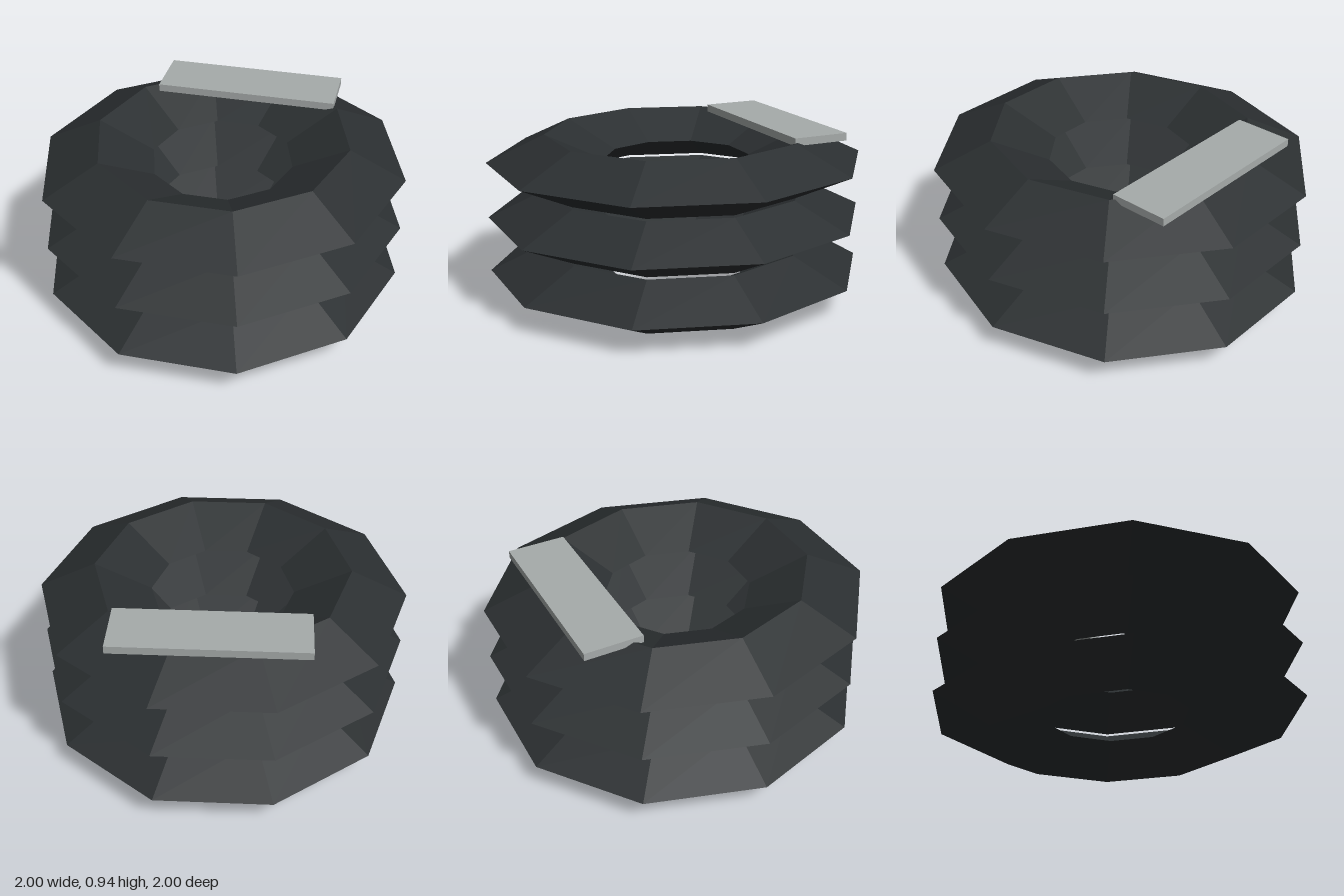
import * as THREE from 'three';

export function createModel() {
  const model = new THREE.Group();
  const rubber = new THREE.MeshStandardMaterial({ color: 0x2b2f31, flatShading: true });
  const board = new THREE.MeshStandardMaterial({ color: 0xa6abaa, flatShading: true });

  // Low-poly tyre: ten-sided ring with a diamond section, stretched to equal width and depth
  const ring = 0.695, tube = 0.305, halfHeight = 0.148;
  const tyreGeometry = new THREE.TorusGeometry(ring, tube, 4, 10);
  tyreGeometry.rotateX(Math.PI / 2);
  tyreGeometry.scale(1, halfHeight / tube, 1 / Math.sin(Math.PI * 0.4));

  // Stack of three tyres with narrow gaps
  ['bottomTyre', 'middleTyre', 'topTyre'].forEach((name, i) => {
    const tyre = new THREE.Mesh(tyreGeometry, rubber);
    tyre.name = name;
    tyre.position.y = halfHeight + i * 0.309;
    model.add(tyre);
  });

  // Flat plank resting across the back of the top tyre
  const plank = new THREE.Mesh(new THREE.BoxGeometry(1.02, 0.042, 0.32), board);
  plank.name = 'plank';
  plank.position.set(0.03, 0.917, -0.595);
  model.add(plank);

  return model;
}
